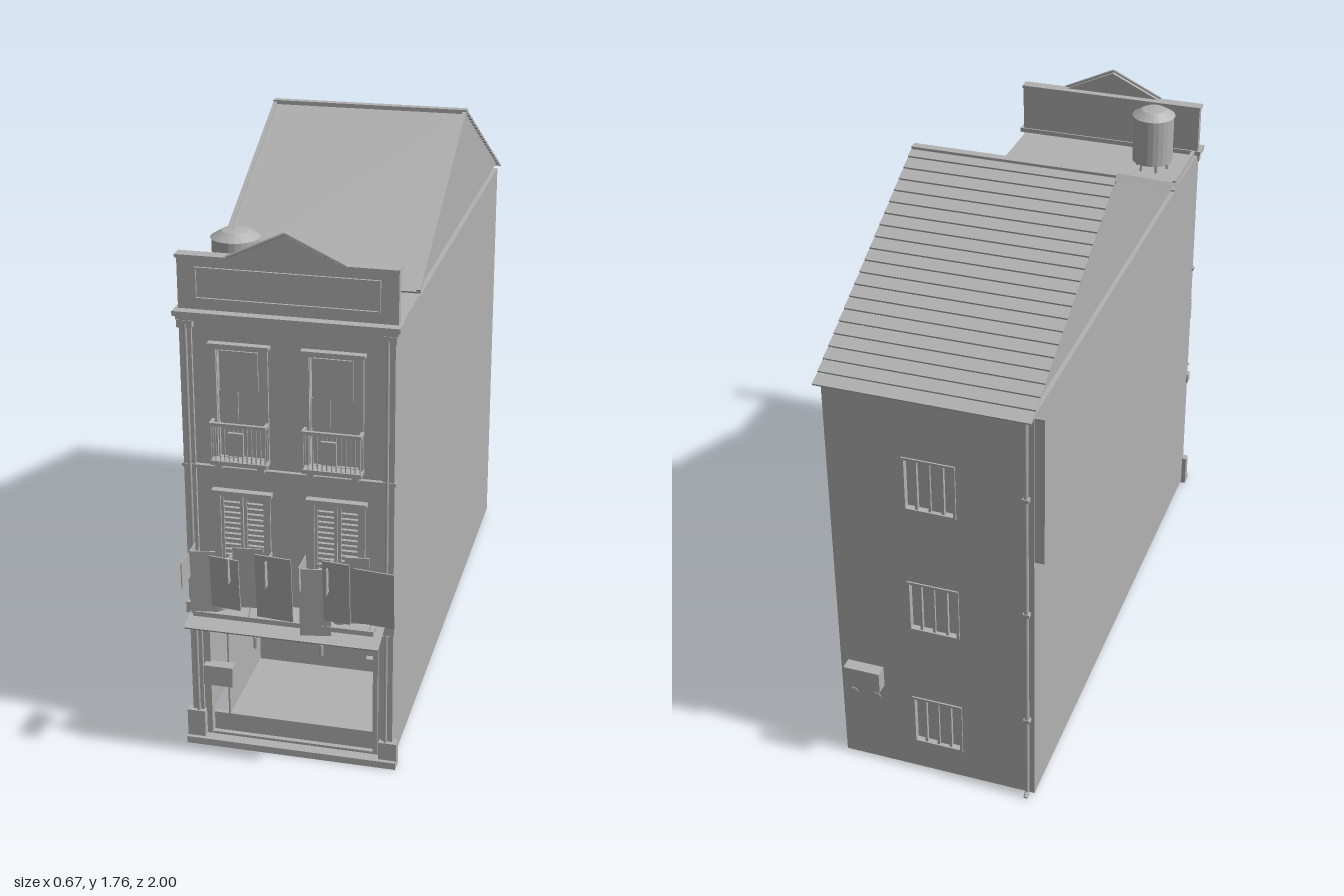
import * as THREE from 'three';

export function createModel() {
  const model = new THREE.Group();
  model.name = 'townhouse';
  const grey = new THREE.MeshStandardMaterial({ color: 0xb2b2b2, side: THREE.DoubleSide });
  grey.name = 'plain grey';

  const add = (name, geo, x = 0, y = 0, z = 0) => {
    const m = new THREE.Mesh(geo, grey);
    m.name = name;
    m.position.set(x, y, z);
    model.add(m);
    return m;
  };
  const box = (name, x0, x1, y0, y1, z0, z1) =>
    add(name, new THREE.BoxGeometry(x1 - x0, y1 - y0, z1 - z0),
      (x0 + x1) / 2, (y0 + y1) / 2, (z0 + z1) / 2);
  const rod = (name, a, b, r, sides = 6) => {
    const p = new THREE.Vector3(...a), q = new THREE.Vector3(...b);
    const m = add(name, new THREE.CylinderGeometry(r, r, p.distanceTo(q), sides));
    m.position.copy(p).lerp(q, 0.5);
    m.quaternion.setFromUnitVectors(new THREE.Vector3(0, 1, 0), q.sub(p).normalize());
    return m;
  };
  // Upright wall with rectangular holes [x0, x1, y0, y1]
  const wall = (name, x0, x1, y0, y1, z, depth, holes) => {
    const rect = (P, [a, b, c, d]) => new P([[a, c], [b, c], [b, d], [a, d]].map(p => new THREE.Vector2(...p)));
    const s = rect(THREE.Shape, [x0, x1, y0, y1]);
    s.holes = holes.map(h => rect(THREE.Path, h));
    return add(name, new THREE.ExtrudeGeometry(s, { depth, bevelEnabled: false }), 0, 0, z);
  };
  // Rectangular moulding
  const frame = (name, x0, x1, y0, y1, z, depth, w) =>
    wall(name, x0, x1, y0, y1, z, depth, [[x0 + w, x1 - w, y0 + w, y1 - w]]);

  // Shell, open underneath
  const W = 0.31, H = 1.375;
  const upper = [[-0.205, -0.07, 0.95, 1.29], [0.065, 0.205, 0.95, 1.29]];
  const middle = [[-0.205, -0.07, 0.55, 0.84], [0.075, 0.21, 0.55, 0.84]];
  const rear = [0.2, 0.64, 1.075].map(y => [-0.08, 0.08, y - 0.09, y + 0.09]);
  wall('frontWall', -W, W, 0.01, H, 0.8, 0.015, [[-0.26, 0.255, 0.03, 0.41], ...upper, ...middle]);
  wall('backWall', -W, W, 0.01, H, -0.95, 0.015, rear);
  for (const s of [-1, 1]) {
    const a = s * W, b = s * (W - 0.01);
    box('sideWall', Math.min(a, b), Math.max(a, b), 0.01, H, -0.945, 0.812);
  }
  box('flatRoof', -W, W, 1.362, H, -0.945, 0.812);
  box('terrace', -W, W, H, 1.381, 0.5, 0.812);
  box('terraceCurb', -0.305, -0.295, 1.38, 1.4, 0.53, 0.78);

  // Shop room
  box('shopFloor', -0.2, 0.3, 0.01, 0.09, 0.46, 0.8);
  box('shopBackWall', -0.2, 0.3, 0.09, 0.41, 0.455, 0.465);
  box('shopSide', -0.205, -0.2, 0.01, 0.41, 0.46, 0.8);
  box('shopSide', 0.255, 0.26, 0.09, 0.41, 0.46, 0.8);
  box('shopCeiling', -0.2, 0.3, 0.405, 0.41, 0.46, 0.8);
  box('threshold', -0.26, 0.255, 0.01, 0.09, 0.785, 0.8);
  box('meterBox', -0.265, -0.175, 0.215, 0.28, 0.815, 0.85);
  box('doorBracket', 0.225, 0.25, 0.335, 0.345, 0.79, 0.81);

  // Gabled roof
  for (const x of [-0.306, 0.306]) {
    const tri = new THREE.Shape([[0.5, 1.395], [-0.95, 1.395], [-0.22, 1.753]].map(([z, y]) => new THREE.Vector2(-z, y)));
    add('gable', new THREE.ShapeGeometry(tri), x).rotation.y = Math.PI / 2;
  }
  const slope = (name, w, z0, y0, z1, y1, t, x = 0) => {
    const m = add(name, new THREE.BoxGeometry(w, t, Math.hypot(z1 - z0, y1 - y0)), x, (y0 + y1) / 2, (z0 + z1) / 2);
    m.rotation.x = -Math.atan2(y1 - y0, z1 - z0);
    return m;
  };
  slope('frontSlope', 0.62, -0.22, 1.751, 0.51, 1.392, 0.006);
  for (const x of [-0.309, 0.309]) slope('roofEdge', 0.012, -0.22, 1.754, 0.51, 1.395, 0.014, x);
  const rows = 20;
  for (let i = 0; i < rows; i++) {
    const z = k => -0.99 + 0.77 * k / rows, y = k => 1.372 + 0.381 * k / rows;
    slope('tileRow', 0.632, z(i), y(i) + 0.005, z(i + 1), y(i + 1), 0.006);
  }
  box('ridgeCap', -0.316, 0.316, 1.735, 1.76, -0.232, -0.205);

  // Parapet, pediment and cornice
  box('parapet', -0.315, 0.315, 1.4, 1.56, 0.785, 0.81);
  box('parapetCap', -0.318, 0.318, 1.55, 1.56, 0.78, 0.82);
  frame('parapetPanel', -0.265, 0.265, 1.43, 1.525, 0.81, 0.007, 0.006);
  const ped = new THREE.Shape([[-0.16, 1.56], [0.16, 1.56], [0, 1.635]].map(p => new THREE.Vector2(...p)));
  add('pediment', new THREE.ExtrudeGeometry(ped, { depth: 0.015, bevelEnabled: false }), 0, 0, 0.805);
  for (const s of [-1, 1]) rod('pedimentEdge', [s * 0.17, 1.56, 0.818], [0, 1.64, 0.818], 0.005, 4);
  box('cornice', -0.325, 0.325, 1.385, 1.4, 0.78, 0.84);
  box('corniceLower', -0.318, 0.318, 1.372, 1.386, 0.8, 0.83);

  // Facade pilasters, plinths, ledges and pipes
  for (const s of [-1, 1]) {
    const strip = (name, a, b, ...r) => box(name, Math.min(s * a, s * b), Math.max(s * a, s * b), ...r);
    strip('pilaster', 0.275, 0.31, 0.03, 1.37, 0.812, 0.825);
    strip('capital', 0.27, 0.315, 1.35, 1.372, 0.812, 0.832);
    strip('plinth', 0.27, 0.325, 0, s < 0 ? 0.11 : 0.08, 0.81, 0.838);
    rod('downpipe', [s * 0.29, 0.02, 0.83], [s * 0.29, 1.36, 0.83], 0.005);
    strip('doorJamb', 0.25, 0.265, 0.03, 0.41, 0.8, 0.825);
  }
  box('baseSill', -0.325, 0.325, 0, 0.022, 0.81, 0.85);
  box('upperLedge', -0.315, 0.315, 0.922, 0.932, 0.81, 0.828);
  box('middleLedge', -0.315, 0.315, 0.45, 0.485, 0.81, 0.84);
  box('shopBeam', -0.3, 0.3, 0.4, 0.44, 0.81, 0.83);

  // Balcony windows
  for (const [a, b, c, d] of upper) {
    box('balconyPane', a, b, c, d, 0.79, 0.795);
    box('curtain', a, a + 0.055, 1.07, 1.16, 0.796, 0.802);
    box('curtain', a + 0.005, b - 0.02, 1.16, d - 0.01, 0.796, 0.802);
    frame('windowFrame', a - 0.015, b + 0.015, c, d + 0.015, 0.812, 0.012, 0.014);
    box('lintel', a - 0.022, b + 0.022, d + 0.012, d + 0.022, 0.81, 0.838);
    const l = a - 0.016, r = b + 0.016;
    box('balconySlab', l, r, 0.95, 0.963, 0.81, 0.858);
    box('balconyRail', l, r, 1.07, 1.08, 0.848, 0.858);
    for (const x of [l, r - 0.008]) {
      box('sideRail', x, x + 0.008, 1.07, 1.08, 0.812, 0.85);
      for (const z of [0.82, 0.835]) rod('baluster', [x + 0.004, 0.96, z], [x + 0.004, 1.07, z], 0.002, 4);
    }
    for (let i = 0; i <= 12; i++) {
      const x = l + 0.004 + (r - l - 0.008) * i / 12;
      rod('baluster', [x, 0.96, 0.853], [x, 1.07, 0.853], 0.002, 4);
    }
    box('railOrnament', a + 0.04, a + 0.085, 0.985, 1.055, 0.852, 0.862);
    for (const x of [a + 0.005, b - 0.005]) box('corbel', x - 0.01, x + 0.01, 0.932, 0.95, 0.81, 0.845);
  }

  // Shuttered windows
  for (const [a, b, c, d] of middle) {
    box('shutterBacking', a, b, c, d, 0.792, 0.796);
    frame('windowFrame', a - 0.014, b + 0.014, c, d + 0.012, 0.812, 0.01, 0.014);
    box('lintel', a - 0.022, b + 0.022, d + 0.008, d + 0.02, 0.81, 0.838);
    const mid = (a + b) / 2;
    for (const [p, q] of [[a, mid - 0.002], [mid + 0.002, b]]) {
      frame('shutter', p, q, c, d, 0.806, 0.01, 0.008);
      for (let y = c + 0.016; y < d - 0.01; y += 0.017)
        box('louvre', p + 0.008, q - 0.008, y, y + 0.009, 0.8, 0.811);
    }
  }

  // Shop canopy with struts and lamps
  box('canopy', -0.27, 0.27, 0.485, 0.5, 0.825, 0.915);
  slope('canopyFlap', 0.58, 0.83, 0.488, 0.94, 0.455, 0.005);
  for (const x of [-0.26, -0.1, 0.1, 0.26]) {
    rod('strut', [x, 0.385, 0.825], [x, 0.46, 0.925], 0.003, 4);
    rod('stay', [x, 0.62, 0.82], [x, 0.5, 0.91], 0.002, 4);
  }
  for (const x of [-0.1, 0.1]) {
    rod('lampStem', [x, 0.36, 0.85], [x, 0.46, 0.85], 0.003);
    rod('lamp', [x, 0.365, 0.85], [x, 0.4, 0.85], 0.007);
  }
  for (const x of [-0.195, 0.165]) rod('flowerPot', [x, 0.5, 0.875], [x, 0.54, 0.875], 0.022, 10);

  // Overlapping sign boards above the canopy: x, y, width, height, z, turn
  const boards = [
    [-0.235, 0.6, 0.08, 0.21, 0.915, 0.15], [-0.165, 0.61, 0.09, 0.17, 0.925, -0.12],
    [-0.095, 0.63, 0.09, 0.2, 0.915, 0.1], [-0.02, 0.61, 0.11, 0.21, 0.922, -0.08],
    [0.1, 0.57, 0.09, 0.24, 0.92, 0.12], [0.165, 0.62, 0.08, 0.2, 0.925, -0.1],
    [0.225, 0.63, 0.07, 0.22, 0.918, 0.1], [0.27, 0.615, 0.13, 0.18, 0.925, -0.1]];
  for (const [x, y, w, h, z, turn] of boards) {
    const m = add('signBoard', new THREE.BoxGeometry(w, h, 0.004), x, y, z);
    m.rotation.set(0.08, turn, 0);
  }
  box('bladeSign', -0.272, -0.269, 0.62, 0.7, 0.87, 1.0);
  for (const x of [-0.15, -0.04, 0.06, 0.14]) box('bladeSign', x, x + 0.003, 0.62, 0.7, 0.87, 0.95);

  // Rear windows
  for (const [a, b, c, d] of rear) {
    frame('rearFrame', a, b, c, d, -0.955, 0.02, 0.008);
    box('rearPane', a, b, c, d, -0.93, -0.926);
    for (let i = 1; i < 4; i++) {
      const x = a + (b - a) * i / 4;
      box('rearMullion', x - 0.004, x + 0.004, c, d, -0.95, -0.938);
    }
    box('rearSash', a + 0.04, a + 0.08, c, d, -0.942, -0.938);
  }

  // Air conditioner, rear drain and flue
  box('airConditioner', 0.165, 0.28, 0.32, 0.39, -1.0, -0.962);
  for (const x of [0.185, 0.26]) {
    box('acBracket', x - 0.004, x + 0.004, 0.31, 0.32, -1.0, -0.95);
    rod('acBrace', [x, 0.26, -0.952], [x, 0.315, -0.99], 0.003, 4);
  }
  const fan = add('acFan', new THREE.TorusGeometry(0.025, 0.003, 4, 16), 0.235, 0.355, -0.999);
  fan.scale.z = 0.3;
  rod('rearDrain', [-0.29, 0.02, -0.96], [-0.29, 1.37, -0.96], 0.007);
  for (const y of [0.3, 0.7, 1.1]) box('drainClip', -0.3, -0.28, y, y + 0.012, -0.968, -0.95);
  rod('drainShoe', [-0.29, 0.02, -0.96], [-0.29, 0.01, -0.978], 0.007);
  box('cornerPanel', -0.34, -0.31, 0.89, 1.37, -0.948, -0.944);

  // Water tank
  const profile = [[0, 1.41], [0.068, 1.41], [0.068, 1.57], [0.072, 1.57], [0.04, 1.59], [0, 1.596]];
  const tank = new THREE.LatheGeometry(profile.map(p => new THREE.Vector2(...p)), 24).toNonIndexed();
  tank.computeVertexNormals();
  add('waterTank', tank, -0.19, 0, 0.655);
  for (let i = 0; i < 6; i++) {
    const x = -0.19 + 0.052 * Math.cos(i * Math.PI / 3), z = 0.655 + 0.052 * Math.sin(i * Math.PI / 3);
    rod('tankLeg', [x, 1.378, z], [x, 1.412, z], 0.005);
  }
  return model;
}
